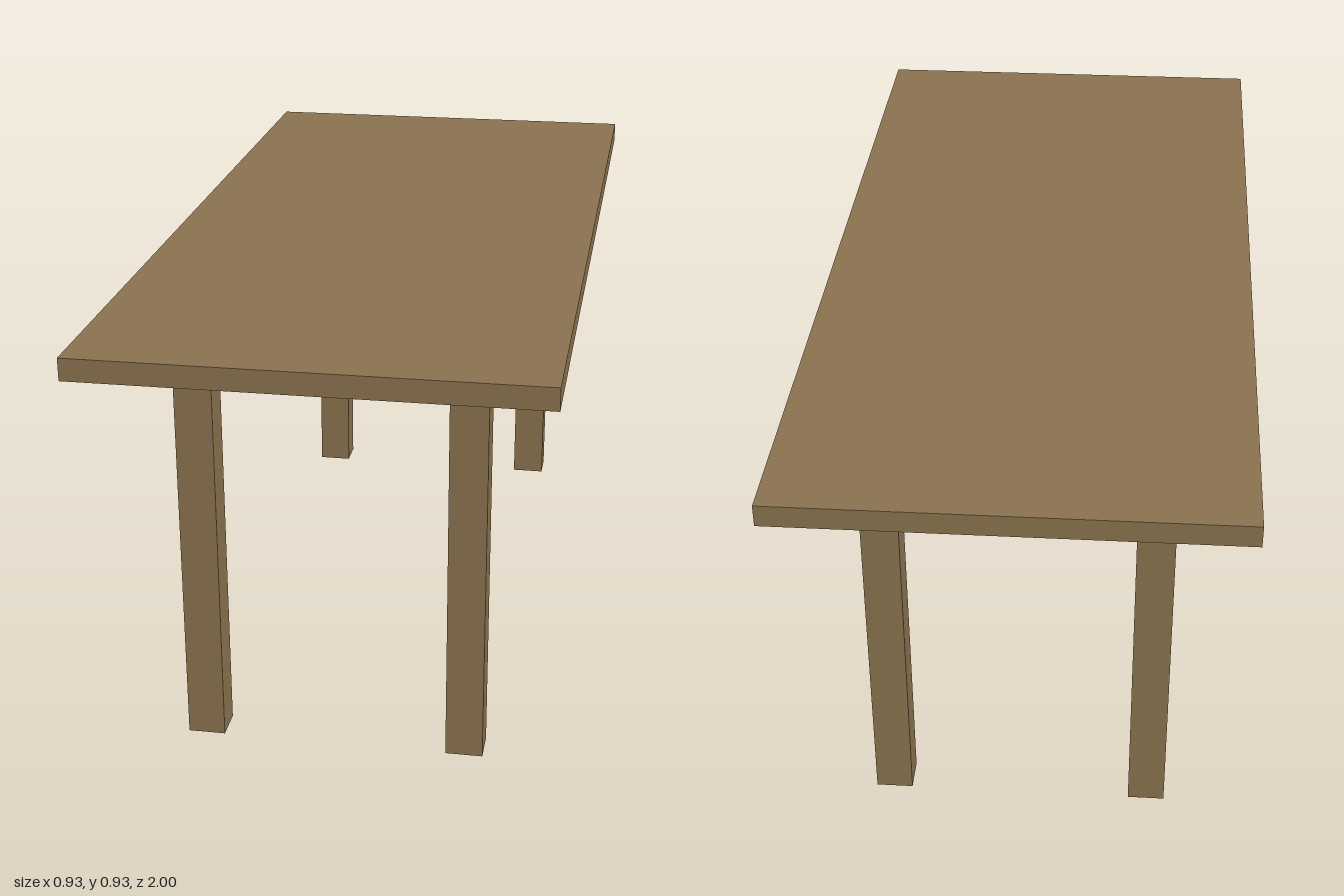
import * as THREE from 'three';

export function createModel() {
  const table = new THREE.Group();
  table.name = 'table';
  const wood = new THREE.MeshStandardMaterial({ color: 0x8b734f });

  const addBox = (name, [w, h, d], [x, y, z]) => {
    const mesh = new THREE.Mesh(new THREE.BoxGeometry(w, h, d), wood);
    mesh.name = name;
    mesh.position.set(x, y, z);
    table.add(mesh);
  };

  // Rectangular slab top
  const height = 0.933, thickness = 0.046;
  const legHeight = height - thickness;
  addBox('tabletop', [0.932, thickness, 2], [0, height - thickness / 2, 0]);

  // Four straight legs, inset from the corners
  for (const [end, sz] of [['front', 1], ['back', -1]]) {
    for (const [side, sx] of [['Left', 1], ['Right', -1]]) {
      addBox(`${end}${side}Leg`, [0.078, legHeight, 0.071], [sx * 0.277, legHeight / 2, sz * 0.732]);
    }
  }

  return table;
}
